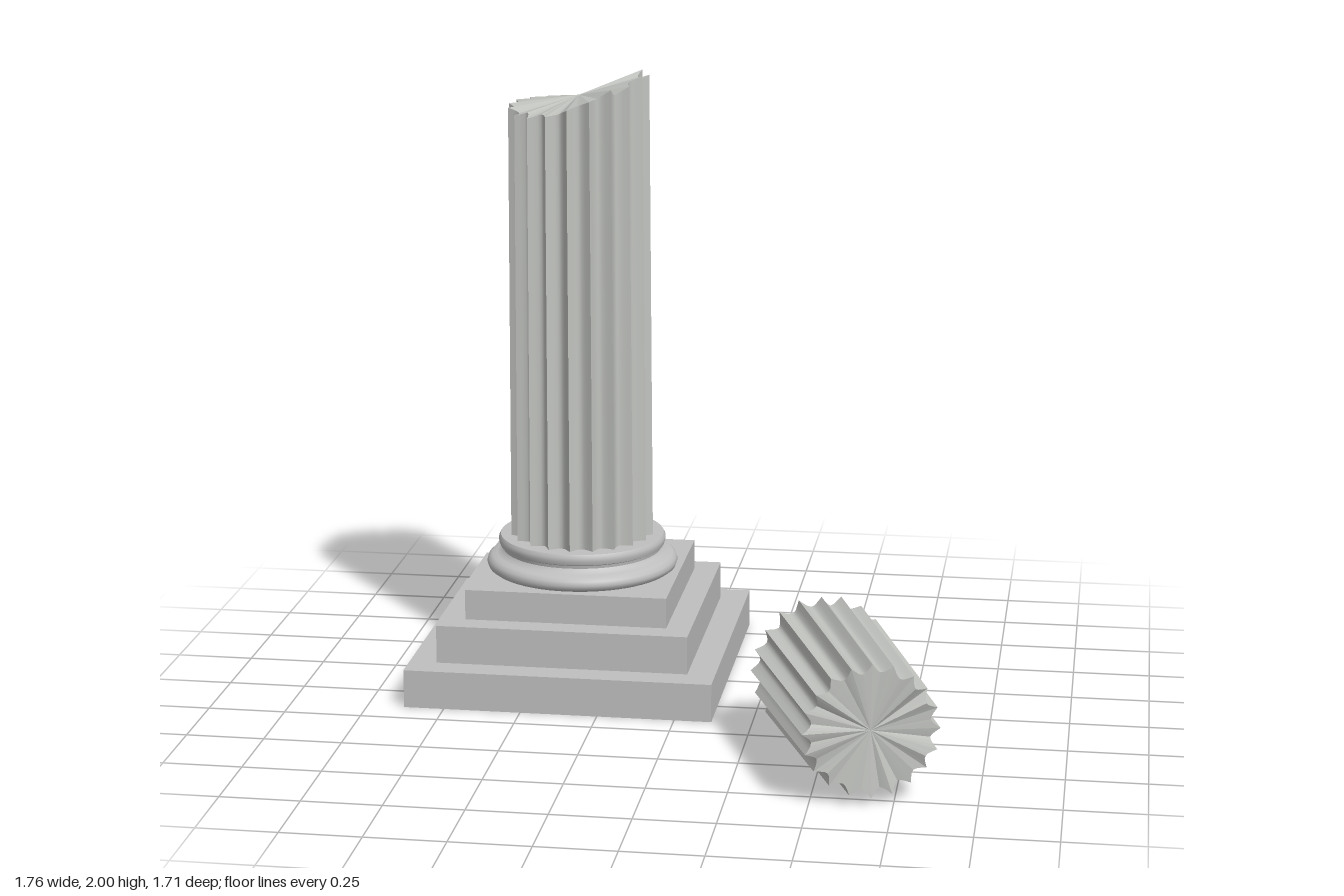
import * as THREE from 'three';
import { toCreasedNormals } from 'three/addons/utils/BufferGeometryUtils.js';

const FLUTES = 20;
const SEG = 6; // points across one flute

function seededRandom(seed) {
  let s = seed;
  return () => {
    s = (s * 16807) % 2147483647;
    return s / 2147483647;
  };
}

// Jagged offsets: one value at every arris and every flute middle, straight in between
function jaggedEdge(seed, amount) {
  const rnd = seededRandom(seed);
  const n = FLUTES * 2;
  const values = Array.from({ length: n }, () => rnd() * amount);
  return (i) => {
    const t = (i / SEG) * 2;
    const k = Math.floor(t);
    return THREE.MathUtils.lerp(values[k % n], values[(k + 1) % n], t - k);
  };
}

// Ring of points with concave flutes and sharp arrises; heightAt(x, i) shapes the end
function flutedRing(radius, heightAt) {
  const ring = [];
  for (let i = 0; i <= FLUTES * SEG; i++) {
    const a = (i / (FLUTES * SEG)) * Math.PI * 2;
    const r = radius * (1 - 0.13 * Math.sin(((i % SEG) / SEG) * Math.PI));
    const x = Math.sin(a) * r;
    ring.push(new THREE.Vector3(x, heightAt(x, i % (FLUTES * SEG)), Math.cos(a) * r));
  }
  return ring;
}

// Shaft side: each flute has its own vertices, so arrises stay sharp and flutes smooth
function shaftSide(bottom, top) {
  const points = [];
  const index = [];
  for (let f = 0; f < FLUTES; f++) {
    for (let j = 0; j <= SEG; j++) {
      const k = points.length;
      points.push(bottom[f * SEG + j], top[f * SEG + j]);
      if (j < SEG) index.push(k, k + 2, k + 3, k, k + 3, k + 1);
    }
  }
  const g = new THREE.BufferGeometry().setFromPoints(points);
  g.setIndex(index);
  g.computeVertexNormals();
  return g;
}

// Broken end: a faceted fan around the middle
function brokenEnd(ring, centreY, facingUp) {
  const c = new THREE.Vector3(0, centreY, 0);
  const points = [];
  for (let i = 0; i < ring.length - 1; i++) {
    if (facingUp) points.push(c, ring[i], ring[i + 1]);
    else points.push(c, ring[i + 1], ring[i]);
  }
  const g = new THREE.BufferGeometry().setFromPoints(points);
  g.computeVertexNormals();
  return g;
}

export function createModel() {
  const model = new THREE.Group();
  const stone = new THREE.MeshStandardMaterial({ color: 0xbfbfbf });
  stone.name = 'grey stone';
  const marble = new THREE.MeshStandardMaterial({ color: 0xc1c3bf });
  marble.name = 'pale marble';

  const add = (parent, name, geometry, material) => {
    const mesh = new THREE.Mesh(geometry, material);
    mesh.name = name;
    parent.add(mesh);
    return mesh;
  };

  // Standing column on its stepped plinth
  const column = new THREE.Group();
  column.name = 'standingColumn';
  column.position.set(-0.38, 0, -0.35);
  model.add(column);

  const steps = [
    ['lowerStep', 1.0, 0, 0.125],
    ['middleStep', 0.82, 0.125, 0.25],
    ['upperStep', 0.66, 0.25, 0.35],
  ];
  for (const [name, width, y0, y1] of steps) {
    add(column, name, new THREE.BoxGeometry(width, y1 - y0, width), stone)
      .position.y = (y0 + y1) / 2;
  }

  // Round moulding: large torus, hollow, small torus
  const profile = [
    [0, 0.35], [0.3, 0.35], [0.311, 0.358], [0.316, 0.372], [0.312, 0.386], [0.3, 0.397],
    [0.283, 0.4], [0.268, 0.407], [0.262, 0.416], [0.264, 0.426],
    [0.272, 0.43], [0.276, 0.442], [0.276, 0.455], [0.27, 0.465], [0, 0.465],
  ].map(([r, y]) => new THREE.Vector2(r, y));
  add(column, 'roundBase', toCreasedNormals(new THREE.LatheGeometry(profile, 64), 0.65), stone);

  // Fluted shaft, broken off at a slant towards +x
  const topChip = jaggedEdge(77, 0.03);
  const shaftBottom = flutedRing(0.237, () => 0.46);
  const shaftTop = flutedRing(0.229, (x, i) =>
    1.905 + 0.115 * THREE.MathUtils.clamp((x + 0.03) / 0.25, 0, 1) - topChip(i));
  const highest = Math.max(...shaftTop.map((p) => p.y));
  shaftTop.forEach((p) => { p.y += 2 - highest; });
  add(column, 'shaft', shaftSide(shaftBottom, shaftTop), marble);
  add(column, 'brokenTop', brokenEnd(shaftTop, 1.925, true), marble);

  // Fallen piece lying beside the column
  const fallen = new THREE.Group();
  fallen.name = 'fallenPiece';
  fallen.position.set(0.576, 0.235, 0.504);
  fallen.rotation.set(Math.PI / 2, THREE.MathUtils.degToRad(20), 0, 'YXZ');
  model.add(fallen);

  const farChip = jaggedEdge(311, 0.03);
  const nearChip = jaggedEdge(523, 0.02);
  const farRing = flutedRing(0.225, (x, i) => -0.318 - 0.095 * x + farChip(i));
  const nearRing = flutedRing(0.208, (x, i) => 0.322 + 0.08 * x - nearChip(i));
  add(fallen, 'fallenShaft', shaftSide(farRing, nearRing), marble);
  add(fallen, 'fallenFarEnd', brokenEnd(farRing, -0.3, false), marble);
  add(fallen, 'fallenNearEnd', brokenEnd(nearRing, 0.305, true), marble);

  return model;
}
